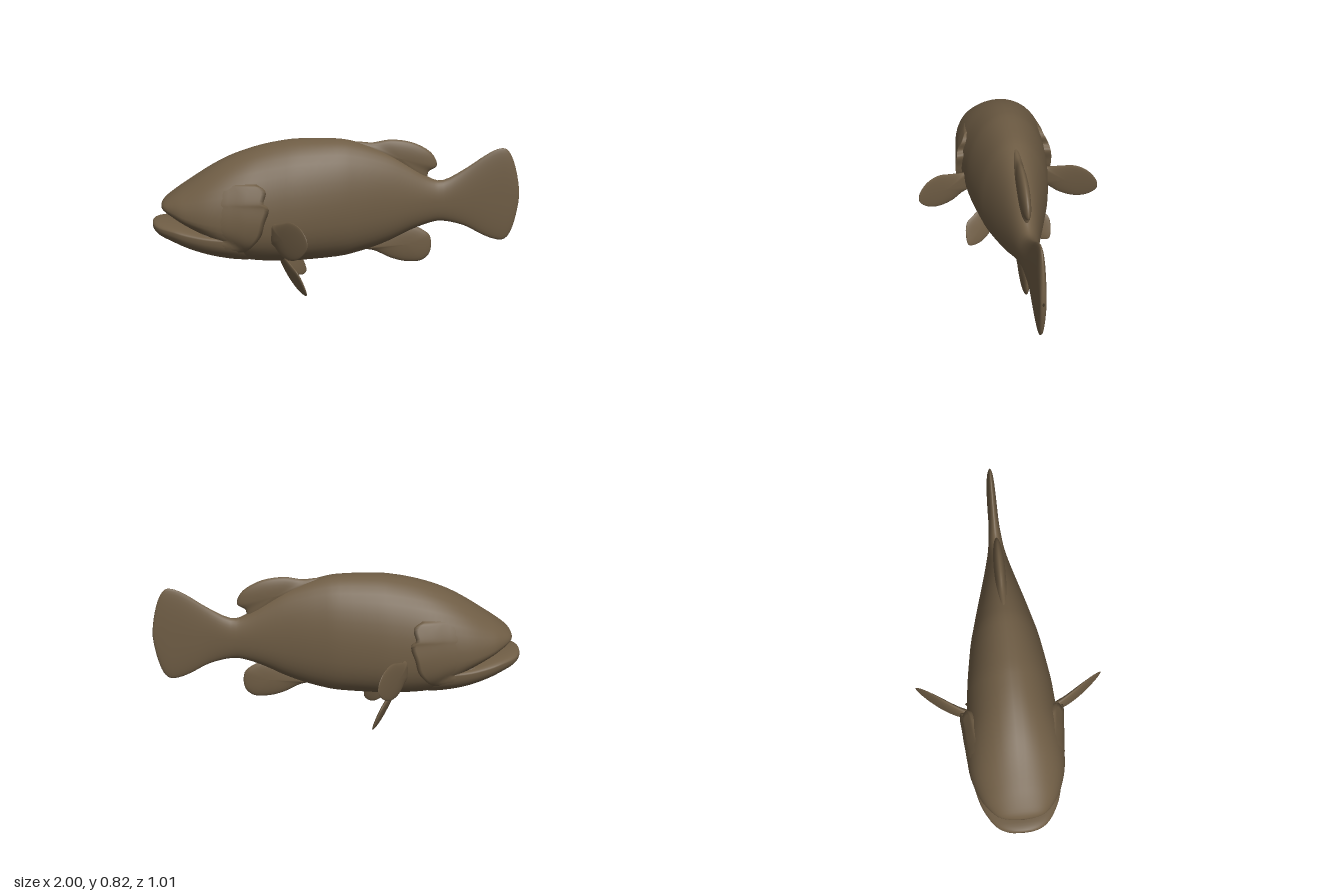
import * as THREE from 'three';

// Cross-sections along the fish: [x, top, bottom, half width, height of widest point]
const BODY = [
  [-0.95, 0.475, 0.455, 0.01, 0.465], [-0.943, 0.49, 0.45, 0.075, 0.468], [-0.92, 0.515, 0.435, 0.13, 0.465],
  [-0.86, 0.56, 0.395, 0.182, 0.45], [-0.8, 0.6, 0.36, 0.215, 0.43], [-0.7, 0.665, 0.3, 0.247, 0.41],
  [-0.6, 0.72, 0.225, 0.258, 0.4], [-0.5, 0.76, 0.172, 0.255, 0.4], [-0.4, 0.79, 0.157, 0.243, 0.4],
  [-0.3, 0.81, 0.153, 0.234, 0.41], [-0.2, 0.821, 0.155, 0.225, 0.42], [0, 0.82, 0.17, 0.192, 0.44],
  [0.1, 0.803, 0.19, 0.167, 0.45], [0.2, 0.772, 0.22, 0.14, 0.46], [0.3, 0.73, 0.26, 0.112, 0.465],
  [0.4, 0.67, 0.31, 0.085, 0.47], [0.5, 0.605, 0.348, 0.06, 0.475], [0.58, 0.587, 0.36, 0.044, 0.475],
  [0.7, 0.65, 0.332, 0.03, 0.49], [0.8, 0.718, 0.28, 0.027, 0.5], [0.87, 0.755, 0.253, 0.025, 0.505],
  [0.92, 0.757, 0.25, 0.023, 0.505], [0.955, 0.71, 0.285, 0.02, 0.505], [0.98, 0.635, 0.36, 0.017, 0.505],
  [0.995, 0.56, 0.44, 0.013, 0.505], [1, 0.51, 0.49, 0.005, 0.5],
];
const JAW = [
  [-1, 0.38, 0.36, 0.01, 0.37], [-0.99, 0.39, 0.335, 0.08, 0.367], [-0.95, 0.396, 0.302, 0.142, 0.36],
  [-0.87, 0.39, 0.265, 0.192, 0.35], [-0.8, 0.38, 0.235, 0.217, 0.335], [-0.7, 0.36, 0.203, 0.238, 0.32],
  [-0.6, 0.35, 0.18, 0.238, 0.31], [-0.5, 0.35, 0.167, 0.215, 0.3], [-0.4, 0.3, 0.165, 0.13, 0.25],
];

// Surface through a grid of points; wrap joins the last column to the first
function grid(rows, cols, wrap, point) {
  const pos = [], idx = [];
  for (let i = 0; i < rows; i++) for (let j = 0; j < cols; j++) pos.push(...point(i, j));
  for (let i = 0; i < rows - 1; i++) {
    for (let j = 0; j < (wrap ? cols : cols - 1); j++) {
      const k = (j + 1) % cols;
      const a = i * cols + j, b = i * cols + k, c = a + cols, d = b + cols;
      idx.push(a, b, c, b, d, c);
    }
  }
  const g = new THREE.BufferGeometry();
  g.setAttribute('position', new THREE.Float32BufferAttribute(pos, 3));
  g.setIndex(idx);
  g.computeVertexNormals();
  return g;
}

// Smooth loft through rounded cross-sections
function loft(table) {
  const cols = 40, steps = (table.length - 1) * 3;
  const spline = (a, b) => new THREE.CatmullRomCurve3(
    table.map(r => new THREE.Vector3(r[0], r[a], r[b])), false, 'catmullrom', 0.5);
  const edges = spline(1, 2), widths = spline(3, 4);
  return grid(steps + 1, cols, true, (i, j) => {
    const e = edges.getPoint(i / steps), w = widths.getPoint(i / steps);
    const a = (j / cols) * Math.PI * 2, c = Math.cos(a), s = Math.sin(a);
    const y = c > 0 ? w.z + c * (e.y - w.z) : w.z - Math.pow(-c, 0.85) * (w.z - e.z);
    const z = Math.sign(s) * Math.pow(Math.abs(s), c > 0 ? 1 : 0.85) * w.y;
    return [e.x, y, z];
  });
}

// Half width of a lofted part at a given x and y
function halfWidth(table, x, y) {
  const i = table.findIndex((r, n) => n < table.length - 1 && x >= r[0] && x <= table[n + 1][0]);
  if (i < 0) return 0;
  const t = (x - table[i][0]) / (table[i + 1][0] - table[i][0]);
  const [, top, bottom, w, mid] = table[i].map((v, k) => v + (table[i + 1][k] - v) * t);
  const h = y > mid ? (y - mid) / (top - mid) : (mid - y) / (mid - bottom);
  return w * Math.sqrt(Math.max(0, 1 - Math.pow(h, y > mid ? 2 : 2.35)));
}

// Thin cushion inside a closed outline, placed in space by a rule
function fin(outline, centre, thickness, place) {
  const rows = 15, cols = 48;
  const curve = new THREE.CatmullRomCurve3(outline.map(p => new THREE.Vector3(p[0], p[1], 0)), true, 'centripetal');
  const rim = curve.getPoints(cols);
  return grid(rows, cols, true, (i, j) => {
    const phi = (i / (rows - 1)) * Math.PI, s = Math.sin(phi);
    return place(
      centre[0] + (rim[j].x - centre[0]) * s,
      centre[1] + (rim[j].y - centre[1]) * s,
      Math.cos(phi) * thickness);
  });
}

// Raised cheek that ends in a scalloped gill edge
function gillCover() {
  const edge = new THREE.SplineCurve([
    [-0.5, 0.24], [-0.45, 0.29], [-0.405, 0.35], [-0.385, 0.42], [-0.362, 0.49],
    [-0.39, 0.52], [-0.378, 0.58], [-0.43, 0.615],
  ].map(p => new THREE.Vector2(...p)));
  const rows = 29, cols = 16;
  return grid(rows, cols, false, (i, j) => {
    const v = i / (rows - 1), tucked = j === cols - 1;
    const u = Math.min(1, j / (cols - 2));
    const e = edge.getPoint(v);
    const x = THREE.MathUtils.lerp(-0.72, e.x, u) - (tucked ? 0.012 : 0);
    const base = Math.max(halfWidth(BODY, x, e.y), halfWidth(JAW, x, e.y));
    const lift = 0.042 * u * u * Math.sqrt(Math.max(0, Math.sin(v * Math.PI))) - 0.004;
    return [x, e.y, base + (tucked ? -0.03 : lift)];
  });
}

export function createModel() {
  const model = new THREE.Group();
  model.name = 'fish';
  const skin = new THREE.MeshStandardMaterial({ color: 0x6e5c44 });
  skin.name = 'brown skin';
  skin.side = THREE.DoubleSide;

  const add = (name, geometry) => {
    const mesh = new THREE.Mesh(geometry, skin);
    mesh.name = name;
    model.add(mesh);
    return mesh;
  };
  const addPair = (name, geometry) => {
    add(name + 'Left', geometry);
    add(name + 'Right', geometry).scale.z = -1;
  };

  // Body with tail, and the protruding lower jaw
  add('bodyAndTail', loft(BODY));
  add('lowerJaw', loft(JAW));
  addPair('gillCover', gillCover());

  // Fins on the centre line
  const upright = (x, y, w) => [x, y, w];
  add('dorsalFin', fin([
    [-0.02, 0.79], [0.1, 0.803], [0.19, 0.797], [0.29, 0.812], [0.42, 0.792], [0.52, 0.73],
    [0.543, 0.665], [0.5, 0.635], [0.485, 0.59], [0.3, 0.66], [0.1, 0.74],
  ], [0.35, 0.71], 0.03, upright));
  add('analFin', fin([
    [0.1, 0.21], [0.2, 0.195], [0.3, 0.15], [0.38, 0.13], [0.47, 0.135], [0.515, 0.18],
    [0.515, 0.27], [0.48, 0.305], [0.4, 0.335], [0.25, 0.29],
  ], [0.38, 0.23], 0.024, upright));

  // Paired fins: outlines are z against y, swept back by a rule
  addPair('pectoralFin', fin([
    [0.19, 0.3], [0.25, 0.28], [0.31, 0.252], [0.39, 0.25], [0.46, 0.285], [0.505, 0.345], [0.5, 0.395],
    [0.455, 0.44], [0.39, 0.452], [0.32, 0.43], [0.25, 0.408], [0.19, 0.4],
  ], [0.34, 0.35], 0.018, (z, y, w) => {
    const t = (z - 0.2) / 0.3;
    return [-0.35 + 0.13 * t + 0.05 * t * t + w * (1.5 - t), y, z];
  }));
  addPair('pelvicFin', fin([
    [0.06, 0.19], [0.13, 0.2], [0.195, 0.165], [0.238, 0.135], [0.248, 0.06], [0.235, 0.012], [0.2, 0.001],
    [0.15, 0.01], [0.1, 0.045], [0.06, 0.11],
  ], [0.16, 0.09], 0.016, (z, y, w) => [-0.27 - 0.4 * y + 0.45 * z + w, y, z]));

  return model;
}
